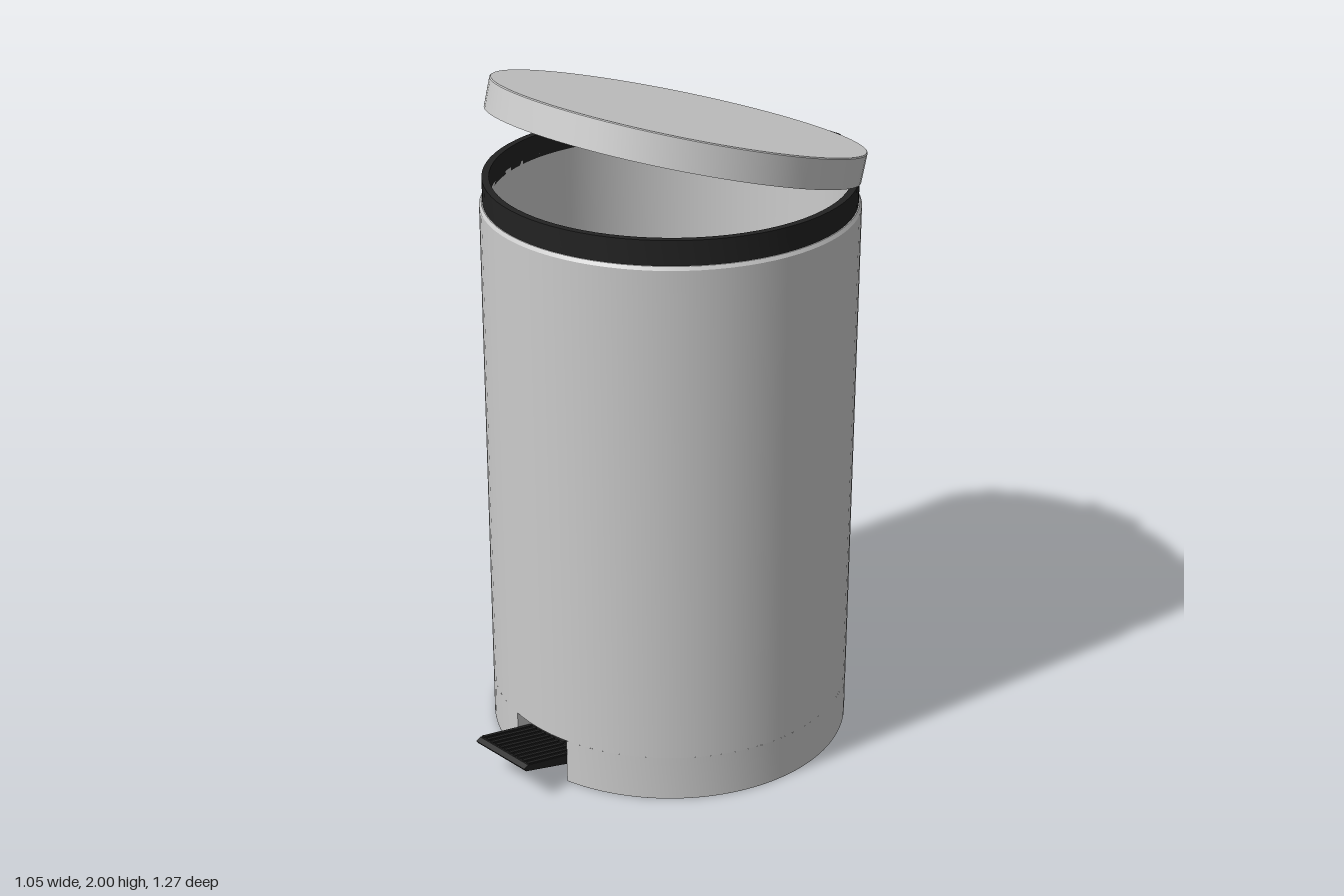
import * as THREE from 'three';
import { toCreasedNormals } from 'three/addons/utils/BufferGeometryUtils.js';

const R = 0.527, CZ = -0.042;          // drum radius and centre
const W = 0.105, NOTCH_Y = 0.135, NOTCH_Z = 0.31; // pedal notch half width, height, inner end
const A = Math.asin(W / R);            // half angle of the notch
const SEG = 80;

const grey = new THREE.MeshStandardMaterial({ color: 0xcccccc, side: THREE.DoubleSide });
const dark = new THREE.MeshStandardMaterial({ color: 0x222222 });

function add(parent, name, geometry, material, x = 0, y = 0, z = 0) {
  const mesh = new THREE.Mesh(geometry, material);
  mesh.name = name;
  mesh.position.set(x, y, z);
  parent.add(mesh);
  return mesh;
}

function lathe(profile, start = 0, length = Math.PI * 2) {
  const points = profile.map(([r, y]) => new THREE.Vector2(r, y));
  return toCreasedNormals(new THREE.LatheGeometry(points, SEG, start, length), 0.5);
}

// Flat horizontal plate facing down, closed by the notch's inner corners
function plate(from, to, side) {
  const shape = new THREE.Shape();
  shape.absarc(0, 0, R, from, to, false);
  shape.lineTo(side * W, NOTCH_Z);
  shape.lineTo(-side * W, NOTCH_Z);
  return new THREE.ShapeGeometry(shape, SEG).rotateX(Math.PI / 2);
}

// Side profile of [z, y] points, extruded across x
function sideExtrude(points, width) {
  const shape = new THREE.Shape(points.map(([z, y]) => new THREE.Vector2(z, y)));
  return new THREE.ExtrudeGeometry(shape, { depth: width, bevelEnabled: false })
    .rotateY(-Math.PI / 2).translate(width / 2, 0, 0);
}

function makeBody() {
  const body = new THREE.Group();
  body.name = 'body';
  body.position.z = CZ;
  add(body, 'drum', lathe([[R, NOTCH_Y], [R, 1.61], [R - 0.006, 1.62], [0.498, 1.62]]), grey);
  add(body, 'drumFoot', lathe([[R, 0], [R, NOTCH_Y]], A, Math.PI * 2 - 2 * A), grey);
  add(body, 'base', plate(Math.PI / 2 + A, Math.PI * 2.5 - A, 1), grey);
  add(body, 'innerBucket', lathe([[0.498, 1.63], [0.498, 0.15], [0, 0.15]]), grey);
  add(body, 'rim', lathe([[0.518, 1.61], [0.518, 1.69], [0.498, 1.69], [0.498, 1.62]]), dark);

  // Pedal recess
  add(body, 'recessCeiling', plate(Math.PI / 2 - A, Math.PI / 2 + A, -1).translate(0, NOTCH_Y, 0), grey);
  add(body, 'recessBack', new THREE.PlaneGeometry(2 * W, NOTCH_Y), grey, 0, NOTCH_Y / 2, NOTCH_Z);
  const depth = R * Math.cos(A) - NOTCH_Z;
  for (const s of [-1, 1]) {
    add(body, 'recessSide', new THREE.PlaneGeometry(depth, NOTCH_Y).rotateY(-s * Math.PI / 2),
      grey, s * W, NOTCH_Y / 2, NOTCH_Z + depth / 2);
  }
  return body;
}

function makePedal() {
  const pedal = new THREE.Group();
  pedal.name = 'pedal';
  add(pedal, 'pedalPlate', sideExtrude([
    [0.635, 0.112], [0.62, 0.119], [0.42, 0.074], [0.42, 0.042], [0.475, 0.057], [0.628, 0.102],
  ], 0.206), dark);
  add(pedal, 'pedalArm', sideExtrude([[0.43, 0.07], [0.26, 0.06], [0.26, 0.045], [0.43, 0.05]], 0.05), dark);
  // Lengthwise grip ribs
  const rib = sideExtrude([[0.615, 0.122], [0.43, 0.08], [0.43, 0.074], [0.615, 0.116]], 0.01);
  for (let i = -5; i <= 5; i++) add(pedal, 'pedalRib', rib, dark, i * 0.0192);
  return pedal;
}

function makeLid() {
  const lid = add(new THREE.Group(), 'lid', lathe([
    [0, -0.01], [0.516, -0.01], [0.516, -0.085], [0.525, -0.085],
    [0.525, -0.003], [0.522, 0], [0, 0],
  ]), grey, 0, 1.855, -0.075);
  lid.rotation.x = -0.28;
  return lid;
}

function makeHinge() {
  const hinge = new THREE.Group();
  hinge.name = 'hinge';
  const y = 1.66, z = -0.598;

  // Tapered bracket, curved to hug the drum
  const bracket = new THREE.BoxGeometry(0.214, 0.22, 1, 12, 1, 1);
  const p = bracket.attributes.position;
  for (let i = 0; i < p.count; i++) {
    const x = p.getX(i), top = p.getY(i) > 0;
    const wall = CZ - Math.sqrt(R * R - x * x);
    const thick = top ? 0.066 : 0.033;
    p.setZ(i, p.getZ(i) > 0 ? wall + 0.004 : wall - thick);
  }
  add(hinge, 'hingeBracket', toCreasedNormals(bracket, 0.5), dark, 0, 1.51, 0);

  // Knuckles: the outer pair belongs to the bracket, the middle one to the lid
  const knuckle = (width) => new THREE.CylinderGeometry(0.036, 0.036, width, 24).rotateZ(Math.PI / 2);
  for (const s of [-1, 1]) {
    add(hinge, 'outerKnuckle', knuckle(0.062), dark, s * 0.076, y, z);
    add(hinge, 'knuckleWeb', new THREE.BoxGeometry(0.062, 0.06, 0.058), dark, s * 0.076, 1.635, -0.598);
  }
  add(hinge, 'lidKnuckle', knuckle(0.07), dark, 0, y, z);
  const strap = add(hinge, 'lidStrap', new THREE.BoxGeometry(0.07, 0.05, 0.04), dark, 0, 1.664, -0.572);
  strap.rotation.x = -0.28;
  add(hinge, 'hingePin', new THREE.CylinderGeometry(0.015, 0.015, 0.217, 16).rotateZ(Math.PI / 2), grey, 0, y, z);
  return hinge;
}

export function createModel() {
  const bin = new THREE.Group();
  bin.name = 'pedalBin';
  bin.add(makeBody(), makePedal(), makeLid(), makeHinge());
  return bin;
}
